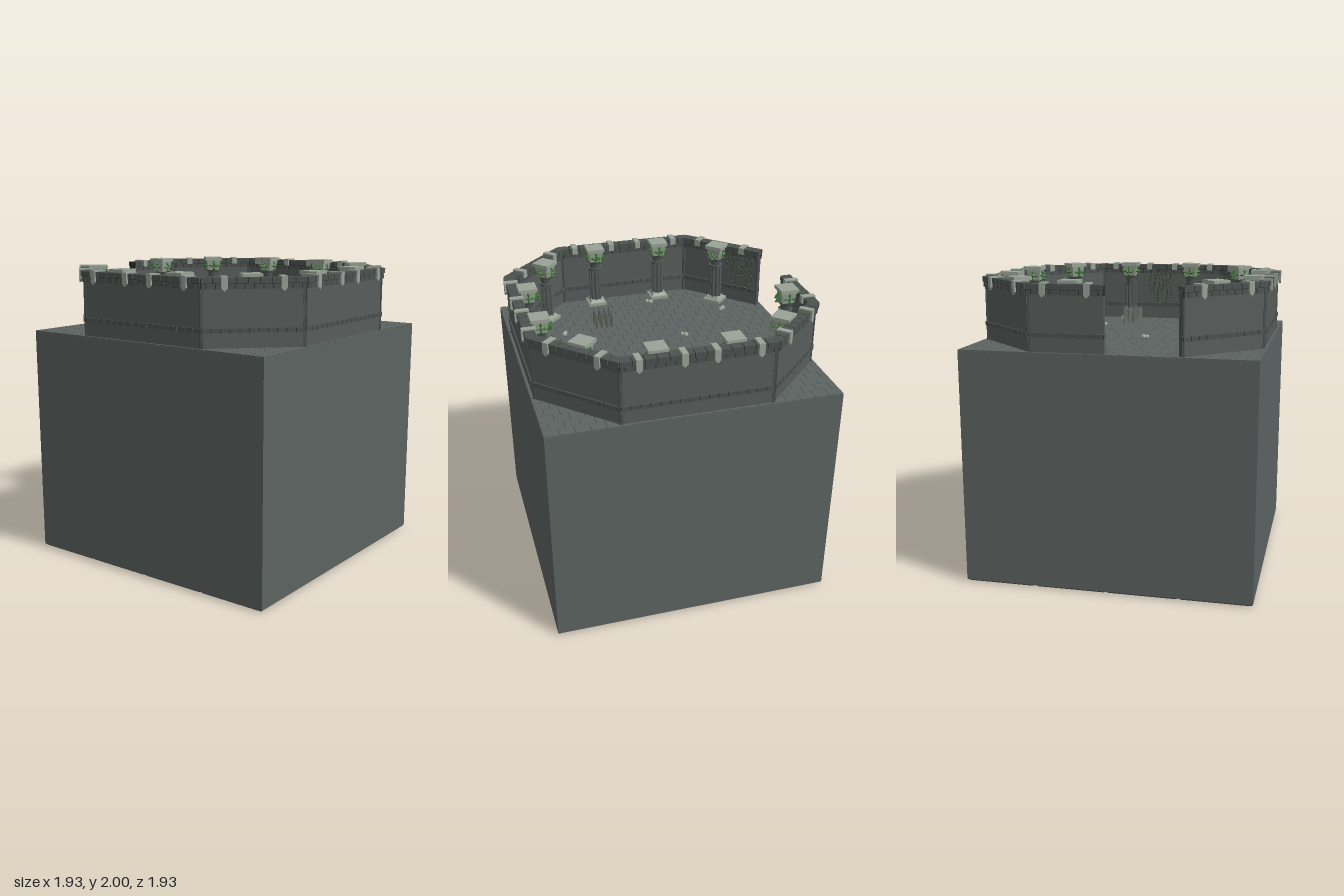
import * as THREE from 'three';
import { mergeGeometries } from 'three/addons/utils/BufferGeometryUtils.js';

const mat = (name, color) => {
  const m = new THREE.MeshStandardMaterial({ color });
  m.name = name;
  return m;
};

export function createModel() {
  const mats = {
    stone: mat('stone', 0x5c6361),
    wall: mat('wall stone', 0x575d5b),
    trim: mat('trim stone', 0x4c5250),
    mortar: mat('dark mortar', 0x2c302f),
    pale: mat('pale stone', 0x98a396),
    leaf: mat('leaf green', 0x3c7434),
    vine: mat('dark vine', 0x2c4029),
    spike: mat('spike grey', 0x6a706a),
  };
  const FLOOR = 1.56, parts = {};

  // collects flat-shaded pieces by part name; at = position, frame = parent matrix
  const add = (part, material, geo, at = [0, 0, 0], frame = null) => {
    const g = geo.index ? geo.toNonIndexed() : geo;
    g.translate(...at);
    if (frame) g.applyMatrix4(frame);
    g.computeVertexNormals();
    (parts[part] ??= { material, list: [] }).list.push(g);
  };
  const box = (w, h, d) => new THREE.BoxGeometry(w, h, d);
  const cyl = (rt, rb, h, n) => new THREE.CylinderGeometry(rt, rb, h, n);
  // square frustum with half widths at top and bottom
  const frustum = (top, bottom, h) => cyl(top * Math.SQRT2, bottom * Math.SQRT2, h, 4).rotateY(Math.PI / 4);

  // foundation block with bevelled tiles underneath
  add('foundation', mats.stone, box(1.9, 1.535, 1.9), [0, 0.7825, 0]);
  for (let i = 0; i < 4; i++) for (let j = 0; j < 4; j++)
    add('undersideTiles', mats.stone, frustum(0.2375, 0.219, 0.015), [-0.7125 + i * 0.475, 0.0075, -0.7125 + j * 0.475]);

  // floor slabs in running bond
  const rows = 24, cols = 20, rp = 1.9 / rows, cp = 1.9 / cols;
  for (let r = 0; r < rows; r++) for (let c = 0; c <= cols; c++) {
    const off = r % 2 ? cp / 2 : 0;
    const a = Math.max(-0.95, -0.95 + c * cp - off), b = Math.min(0.95, -0.95 + (c + 1) * cp - off);
    if (b - a < 0.01) continue;
    add('floorSlabs', mats.stone, box(b - a - 0.003, 0.011, rp - 0.003),
      [(a + b) / 2, FLOOR - 0.0055, -0.95 + (r + 0.5) * rp]);
  }

  // octagonal wall: straight sides at offset r, diagonal sides 0.07 further out
  const half = (r, diag) => diag ? (Math.SQRT2 * r - r - 0.07) : Math.SQRT2 * (r + 0.07) - r;
  const band = (part, material, k, r0, r1, y0, y1, frame) => {
    const d = k % 2, e = d ? 0.07 : 0, h0 = half(r0, d), h1 = half(r1, d);
    const open = k === 6;
    const s = new THREE.Shape();
    s.moveTo(-h0, -(r0 + e));
    s.lineTo(-h1, -(r1 + e));
    s.lineTo(open ? 0 : h1, -(r1 + e));
    s.lineTo(open ? 0 : h0, -(r0 + e));
    s.closePath();
    const g = new THREE.ExtrudeGeometry(s, { depth: y1 - y0, bevelEnabled: false });
    add(part, material, g.rotateX(-Math.PI / 2), [0, y0, 0], frame);
  };
  const course = (k, r0, r1, y0, y1, pitch, shift, frame) => {
    const d = k % 2, e = d ? 0.07 : 0, h = half(r1, d) - 0.004, end = k === 6 ? 0 : h;
    const n = Math.round(2 * h / pitch), p = 2 * h / n;
    for (let i = 0; i <= n; i++) {
      const a = Math.max(-h, -h + (i - shift) * p), b = Math.min(end, -h + (i + 1 - shift) * p);
      if (b - a < 0.01) continue;
      add('wallBricks', mats.trim, box(b - a - 0.006, y1 - y0, r1 - r0),
        [(a + b) / 2, (y0 + y1) / 2, (r0 + r1) / 2 + e], frame);
    }
  };

  // hanging capstone: slab across the wall top with a pointed tongue outside
  const tongue = () => {
    const s = new THREE.Shape();
    s.moveTo(-0.019, 0.09);
    s.lineTo(-0.019, 0.02);
    s.lineTo(0, 0);
    s.lineTo(0.019, 0.02);
    s.lineTo(0.019, 0.09);
    s.closePath();
    return new THREE.ExtrudeGeometry(s, { depth: 0.014, bevelEnabled: false });
  };

  // leafy cross for one capital face, facing local +z
  const leafCross = (frame) => {
    add('capitalLeaves', mats.leaf, new THREE.OctahedronGeometry(0.015), [0, 0, 0.006], frame);
    for (let q = 0; q < 4; q++) {
      const f = frame.clone().multiply(new THREE.Matrix4().makeRotationZ(q * Math.PI / 2));
      add('capitalLeaves', mats.leaf, new THREE.OctahedronGeometry(0.014).scale(0.7, 1.3, 0.7), [0, 0.026, 0.003], f);
    }
  };

  // pillar centred on the frame origin, its back towards the wall (+z)
  const pillar = (frame) => {
    const y = FLOOR;
    add('pillarBases', mats.pale, box(0.13, 0.022, 0.13), [0, y + 0.011, 0], frame);
    add('pillarBases', mats.pale, frustum(0.042, 0.054, 0.02), [0, y + 0.032, 0], frame);
    add('pillarShafts', mats.trim, cyl(0.034, 0.036, 0.25, 10), [0, y + 0.165, 0], frame);
    for (let i = 0; i < 8; i++) {
      const a = i * Math.PI / 4;
      add('pillarFlutes', mats.wall, cyl(0.009, 0.01, 0.23, 5), [Math.cos(a) * 0.036, y + 0.155, Math.sin(a) * 0.036], frame);
    }
    add('pillarRings', mats.wall, cyl(0.05, 0.046, 0.02, 10), [0, y + 0.28, 0], frame);
    add('pillarNecks', mats.trim, cyl(0.036, 0.036, 0.04, 10), [0, y + 0.305, 0], frame);
    add('pillarRings', mats.wall, cyl(0.052, 0.042, 0.02, 10), [0, y + 0.33, 0], frame);
    add('capitals', mats.pale, frustum(0.052, 0.04, 0.08), [0, y + 0.378, 0], frame);
    add('capitals', mats.pale, box(0.125, 0.024, 0.125), [0, 1.988, 0], frame);
    for (const a of [Math.PI / 2, Math.PI, -Math.PI / 2]) {
      const f = frame.clone().multiply(new THREE.Matrix4().makeRotationY(a))
        .multiply(new THREE.Matrix4().makeTranslation(0, y + 0.375, 0.053));
      leafCross(f);
    }
    // larger spray of leaves on the side facing the court
    for (const [x, dy] of [[-0.014, 0], [0.014, 0], [0, 0.02], [0, -0.022]])
      add('capitalLeaves', mats.leaf, new THREE.OctahedronGeometry(0.012), [x, y + 0.37 + dy, -0.07], frame);
  };

  for (let k = 0; k < 8; k++) {
    const frame = new THREE.Matrix4().makeRotationY(k * Math.PI / 4);
    const d = k % 2, e = d ? 0.07 : 0;
    band('wallPanels', mats.wall, k, 0.9, 0.932, 1.55, 1.92, frame);
    band('lowerMortar', mats.mortar, k, 0.892, 0.937, 1.655, 1.678, frame);
    band('upperMortar', mats.mortar, k, 0.889, 0.942, 1.915, 1.978, frame);
    course(k, 0.888, 0.943, 1.653, 1.681, 0.06, 0, frame);
    course(k, 0.886, 0.947, 1.914, 1.945, 0.06, 0.5, frame);
    course(k, 0.882, 0.953, 1.949, 1.982, 0.075, 0, frame);

    // slim pilaster strips at the wall ends
    for (const s of k === 6 ? [-1] : [-1, 1])
      add('cornerStrips', mats.trim, box(0.012, 0.36, 0.046), [s * (half(0.93, d) - 0.007), 1.735, 0.914 + e], frame);

    // capstones
    const spots = d ? [-0.18, 0.18] : k === 6 ? [-0.38, -0.1] : [-0.375, -0.1, 0.1, 0.375];
    for (const u of spots) {
      add('capstones', mats.pale, box(0.038, 0.014, 0.09), [u, 1.984, 0.917 + e], frame);
      add('capstones', mats.pale, tongue(), [u, 1.9, 0.95 + e], frame);
      add('capstones', mats.pale, box(0.038, 0.045, 0.01), [u, 1.965, 0.876 + e], frame);
    }

    // pillars
    for (const u of d ? [0] : k === 6 ? [-0.24] : [-0.24, 0.24])
      pillar(frame.clone().multiply(new THREE.Matrix4().makeTranslation(u, 0, d ? 0.905 : 0.83)));
  }

  // climbing vines on the inner wall faces: [side, start, end]
  for (const [k, u0, u1] of [[2, -0.07, 0.09], [7, -0.27, -0.08], [6, -0.45, -0.42]]) {
    const frame = new THREE.Matrix4().makeRotationY(k * Math.PI / 4), r = 0.885 + (k % 2 ? 0.07 : 0);
    const n = Math.max(1, Math.round((u1 - u0) / 0.035));
    for (let i = 0; i <= n; i++) {
      const u = u0 + (u1 - u0) * i / n, len = 0.18 + 0.05 * Math.sin(i * 2.3);
      const pts = [0, 1, 2, 3].map(j => new THREE.Vector3(u + 0.008 * Math.sin(j * 2 + i), 1.91 - len * j / 3, r - 0.005 * j));
      add('vines', mats.vine, new THREE.TubeGeometry(new THREE.CatmullRomCurve3(pts), 8, 0.003, 4), [0, 0, 0], frame);
      for (const p of pts)
        add('vineLeaves', mats.vine, new THREE.OctahedronGeometry(0.009), [p.x, p.y, p.z - 0.004], frame);
    }
  }

  // spike traps
  for (const [x, z] of [[-0.3, -0.45], [0.59, -0.17], [0.275, 0.435]])
    for (let i = 0; i < 4; i++) for (let j = 0; j < 4; j++) {
      const p = [x + (i - 1.5) * 0.037, FLOOR + 0.05, z + (j - 1.5) * 0.037];
      add('spikes', mats.spike, cyl(0.006, 0.008, 0.1, 6), p);
      add('spikes', mats.spike, cyl(0, 0.006, 0.03, 6), [p[0], FLOOR + 0.115, p[2]]);
    }

  // loose pairs of rounded stones
  for (const [x, z, dx, dz] of [[0.12, -0.785, 0, 0.03], [-0.64, -0.485, 0.03, -0.012], [0.4, -0.39, 0.03, 0.012],
    [0.325, -0.345, 0.02, 0.02], [-0.24, 0.095, 0.02, 0.02], [0.58, 0.33, -0.012, 0.026],
    [-0.64, 0.455, 0.022, -0.016], [-0.152, 0.705, 0.022, 0.02]]) {
    add('looseStones', mats.pale, new THREE.IcosahedronGeometry(0.018, 1), [x, FLOOR + 0.014, z]);
    add('looseStones', mats.pale, new THREE.IcosahedronGeometry(0.016, 1), [x + dx, FLOOR + 0.012, z + dz]);
  }

  const group = new THREE.Group();
  group.name = 'walledCourt';
  for (const [name, { material, list }] of Object.entries(parts)) {
    const mesh = new THREE.Mesh(mergeGeometries(list), material);
    mesh.name = name;
    group.add(mesh);
  }
  return group;
}
